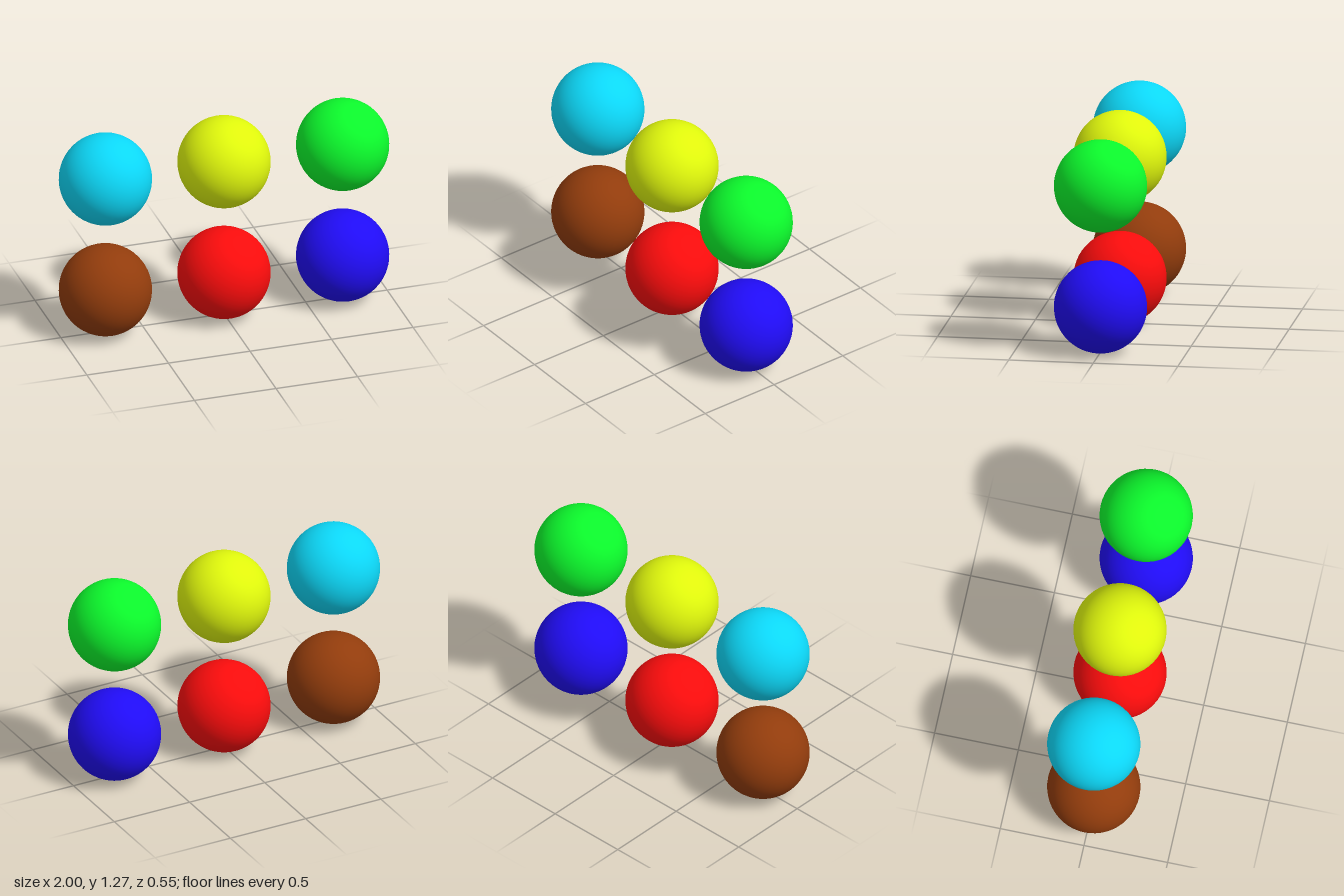
import * as THREE from 'three';

const RADIUS = 0.2727;
const SPACING = 0.7273;

// Rows from bottom to top, each listed from -x to +x
const ROWS = [
  [['brownBall', 0x923c0c], ['redBall', 0xfa0c0c], ['blueBall', 0x200cf5]],
  [['cyanBall', 0x0cd8f8], ['yellowBall', 0xe0f80c], ['greenBall', 0x0cfa2c]],
];

export function createModel() {
  const model = new THREE.Group();
  model.name = 'ballGrid';

  // One smooth sphere shared by every ball
  const sphere = new THREE.SphereGeometry(RADIUS, 48, 32);

  ROWS.forEach((row, j) => {
    row.forEach(([name, color], i) => {
      const ball = new THREE.Mesh(sphere, new THREE.MeshStandardMaterial({ color }));
      ball.name = name;
      ball.position.set((i - 1) * SPACING, RADIUS + j * SPACING, 0);
      model.add(ball);
    });
  });

  return model;
}
